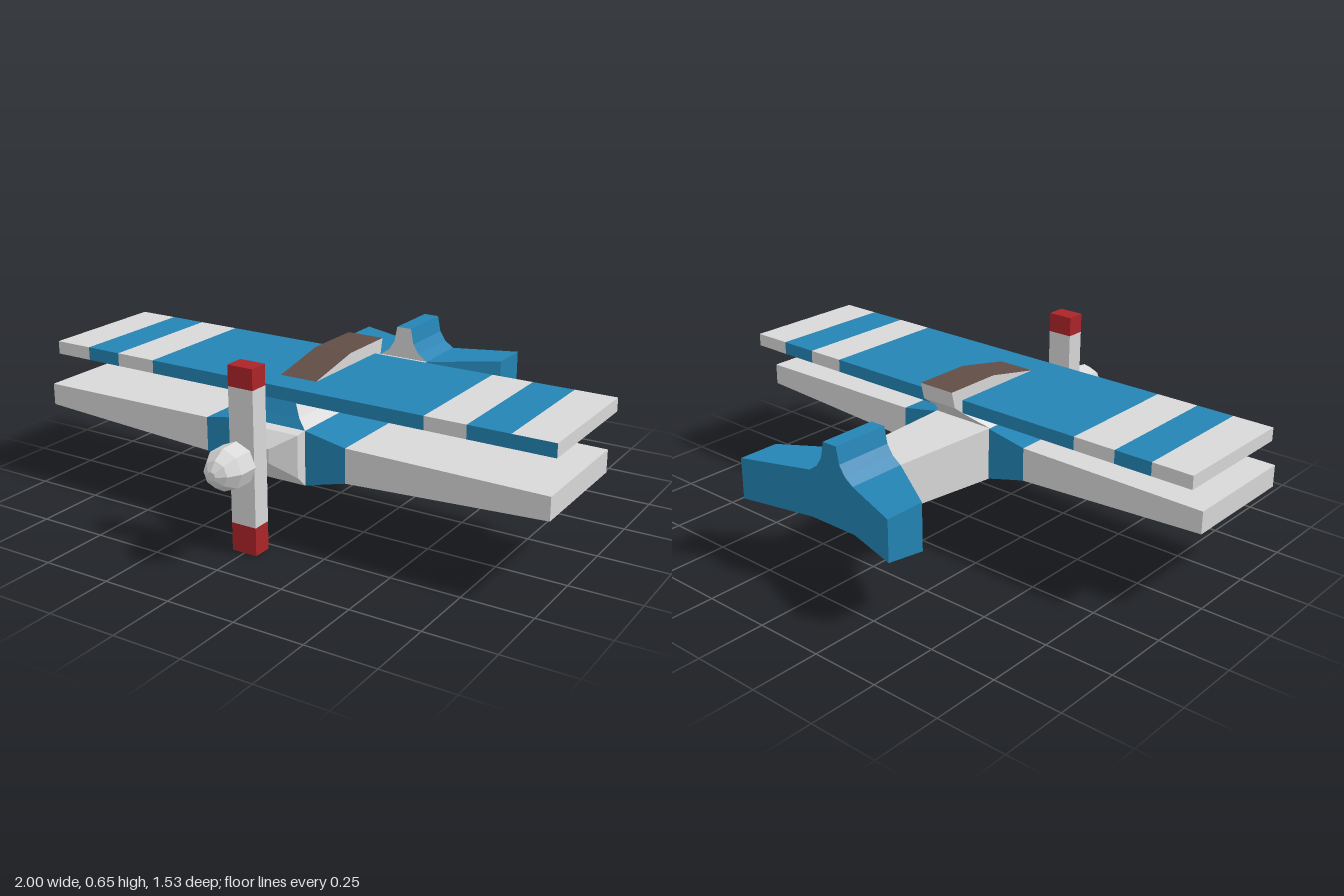
import * as THREE from 'three';

const mat = (name, color) => {
  const m = new THREE.MeshStandardMaterial({ color });
  m.name = name;
  return m;
};

// Flat-faced loft through rings of equal point count; sides[i] is the material of side i
function loft(name, rings, main, sides = {}) {
  const tris = [];
  const n = rings[0].length;
  for (let i = 0; i < n; i++) {
    const j = (i + 1) % n, m = sides[i] || main;
    for (let r = 0; r < rings.length - 1; r++) {
      const a = rings[r], b = rings[r + 1];
      tris.push([m, a[i], a[j], b[j]], [m, a[i], b[j], b[i]]);
    }
  }
  const first = rings[0], last = rings[rings.length - 1];
  for (let i = 1; i < n - 1; i++) {
    tris.push([main, first[0], first[i + 1], first[i]], [main, last[0], last[i], last[i + 1]]);
  }
  // Turn every face outward
  let volume = 0;
  const v = p => new THREE.Vector3(...p);
  for (const [, a, b, c] of tris) volume += v(a).dot(v(b).cross(v(c)));
  const mats = [...new Set(tris.map(t => t[0]))];
  const pos = [];
  const geo = new THREE.BufferGeometry();
  mats.forEach((m, k) => {
    const start = pos.length / 3;
    for (const [tm, a, b, c] of tris) {
      if (tm === m) pos.push(...a, ...(volume > 0 ? b : c), ...(volume > 0 ? c : b));
    }
    geo.addGroup(start, pos.length / 3 - start, k);
  });
  geo.setAttribute('position', new THREE.Float32BufferAttribute(pos, 3));
  geo.computeVertexNormals();
  const mesh = new THREE.Mesh(geo, mats.length > 1 ? mats : mats[0]);
  mesh.name = name;
  return mesh;
}

// Rectangular rings across each axis
const ringZ = (z, w, y0, y1) => [[-w, y0, z], [w, y0, z], [w, y1, z], [-w, y1, z]];
const ringY = (y, w, zf, zb) => [[-w, y, zf], [w, y, zf], [w, y, zb], [-w, y, zb]]; // side 0 is the front
const ringX = (x, y0, y1, zf, zb, yb = y0) => [[x, y0, zf], [x, y1, zf], [x, y1, zb], [x, yb, zb]];

export function createModel() {
  const plane = new THREE.Group();
  plane.name = 'biplane';
  const grey = mat('light grey', 0xd8d8d8);
  const blue = mat('blue', 0x2484b4);
  const red = mat('red', 0xac2428);
  const brown = mat('brown', 0x604d46);
  const yellow = mat('yellow', 0xb8ac20);
  const add = (...args) => plane.add(loft(...args));

  // Fuselage and engine cowl
  add('fuselage', [
    ringZ(-0.46, 0.1, 0.23, 0.4), ringZ(-0.03, 0.125, 0.205, 0.4), ringZ(0.42, 0.125, 0.205, 0.4),
  ], grey);
  add('cowl', [
    ringZ(0.42, 0.125, 0.205, 0.4), ringZ(0.46, 0.122, 0.245, 0.395), ringZ(0.515, 0.045, 0.3, 0.35),
  ], grey);
  add('propellerShaft', [ringZ(0.51, 0.035, 0.3, 0.35), ringZ(0.54, 0.035, 0.3, 0.35)], grey);

  // Lower wings with blue roots
  for (const s of [1, -1]) {
    const side = s > 0 ? 'left' : 'right';
    const root = ringX(s * 0.12, 0.205, 0.4, 0.42, -0.035);
    const seam = ringX(s * 0.28, 0.247, 0.37, 0.42, -0.035);
    const tip = ringX(s * 0.997, 0.285, 0.365, 0.42, -0.035);
    add(side + 'LowerWingRoot', [root, seam], blue);
    add(side + 'LowerWing', [seam, tip], grey);
  }

  // Striped upper wing, whose left tip has a blue leading edge
  const stripes = [-1, -0.85, -0.71, -0.55, 0.54, 0.69, 0.84, 0.99];
  for (let i = 0; i < 7; i++) {
    const rings = [stripes[i], stripes[i + 1]].map(x => ringX(x, 0.47, 0.518, 0.375, -0.115));
    add('upperWingPanel' + (i + 1), rings, i % 2 ? blue : grey, i === 6 ? { 0: blue } : {});
  }

  // Flared pylon carrying the upper wing
  add('pylon', [
    ringY(0.4, 0.125, 0.42, -0.03), ringY(0.43, 0.09, 0.4, -0.065), ringY(0.472, 0.06, 0.375, -0.115),
  ], grey, { 0: blue });

  // Brown-topped fairing over the wing
  const fairing = [[0.285, 0.515], [0.05, 0.562], [-0.17, 0.562], [-0.155, 0.5], [-0.115, 0.47]];
  add('topFairing', [-0.072, 0.072].map(x => fairing.map(([z, y]) => [x, y, z])), grey, { 0: brown, 1: brown });

  // Tail block, flared fin and swept tailplanes
  add('tailBlock', [ringZ(-0.46, 0.1, 0.228, 0.4), ringZ(-0.677, 0.1, 0.228, 0.4)], blue);
  add('fin', [[0.4, 0.1], [0.425, 0.065], [0.46, 0.042], [0.52, 0.03]].map(
    ([y, w]) => ringY(y, w, -0.457, -0.677)), blue, { 0: grey });
  for (const s of [1, -1]) {
    add(s > 0 ? 'leftTailplane' : 'rightTailplane', [
      ringX(s * 0.1, 0.228, 0.4, -0.457, -0.677),
      ringX(s * 0.34, 0.228, 0.4, -0.612, -0.765, 0.25),
    ], blue);
  }

  // Propeller blade with red tips
  const blade = (name, y0, y1, m) => add(name, [ringY(y0, 0.048, 0.6, 0.53), ringY(y1, 0.048, 0.6, 0.53)], m);
  blade('lowerPropellerTip', 0, 0.1, red);
  blade('propellerBlade', 0.1, 0.575, grey);
  blade('upperPropellerTip', 0.575, 0.647, red);

  // Eight-sided spinner ahead of the propeller, with yellow bottom facets
  const octagon = (z, r) => Array.from({ length: 8 }, (_, i) => {
    const a = i * Math.PI / 4;
    return [r * Math.cos(a), 0.33 + r * Math.sin(a), z];
  });
  add('spinner', [octagon(0.628, 0.075), octagon(0.7, 0.073)], grey, { 5: yellow, 6: yellow });
  add('spinnerNose', [octagon(0.7, 0.073), octagon(0.742, 0.047), octagon(0.764, 0.016)], grey);

  return plane;
}
